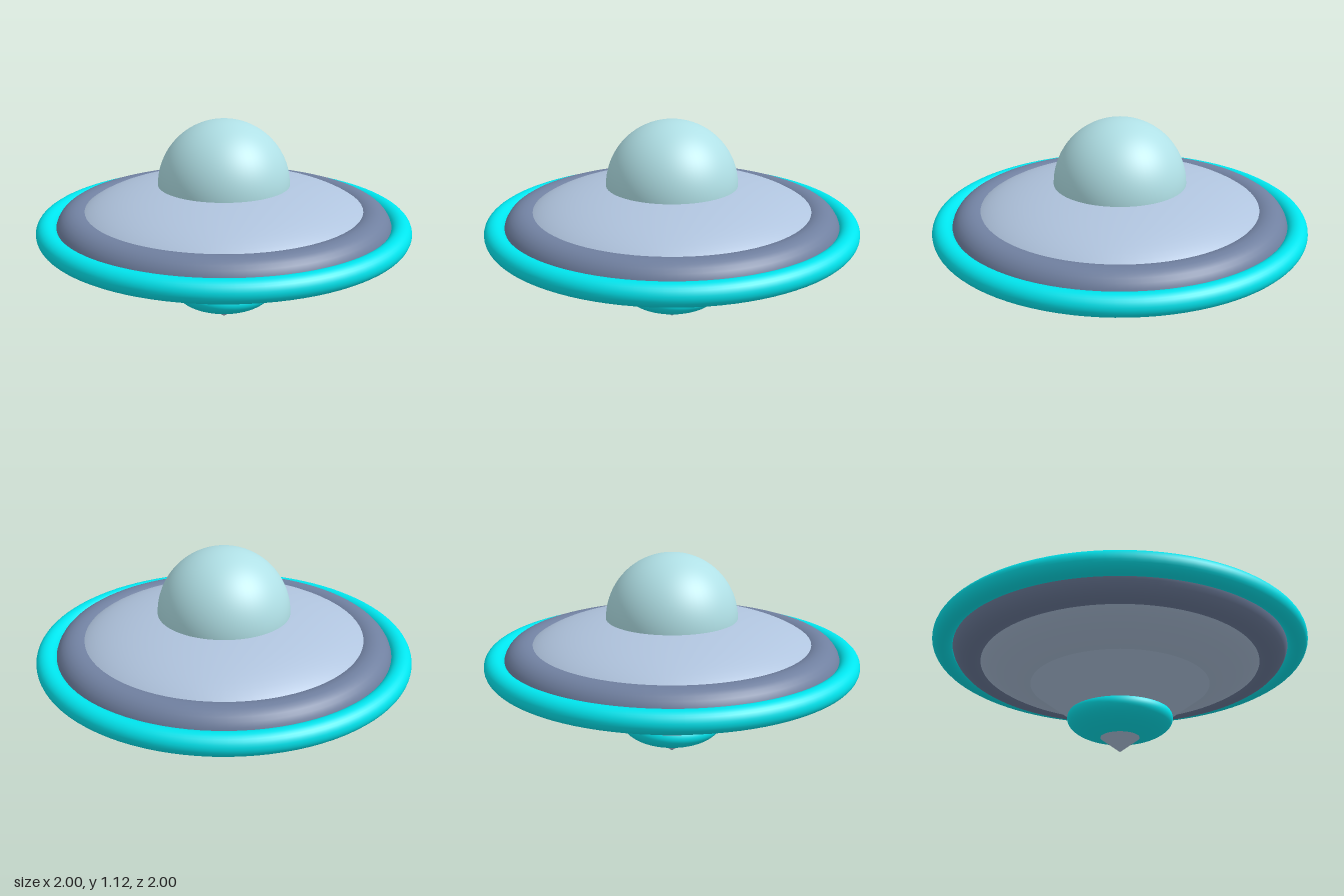
import * as THREE from 'three';

const SEGMENTS = 64;
const HULL_Y = 0.56;

function addPart(group, name, geometry, color, y) {
  const mesh = new THREE.Mesh(geometry, new THREE.MeshStandardMaterial({ color }));
  mesh.name = name;
  mesh.position.y = y;
  group.add(mesh);
  return mesh;
}

// Sphere flattened to the given radius and half height
function ellipsoid(radius, halfHeight) {
  return new THREE.SphereGeometry(1, SEGMENTS, 40).scale(radius, halfHeight, radius);
}

// Ring lying flat around the vertical axis
function flatRing(radius, tube) {
  return new THREE.TorusGeometry(radius, tube, 28, 96).rotateX(Math.PI / 2);
}

export function createModel() {
  const group = new THREE.Group();
  group.name = 'flyingSaucer';
  const steel = 0xb0c4de, slate = 0x7080a0, cyan = 0x00e5ee, glass = 0xb0e0e6;

  // Lens-shaped body with two rings around its edge
  addPart(group, 'hull', ellipsoid(0.81, 0.243), steel, HULL_Y);
  addPart(group, 'innerRing', flatRing(0.79, 0.107), slate, HULL_Y);
  addPart(group, 'outerRing', flatRing(0.943, 0.057), cyan, HULL_Y);

  // Cockpit dome, open where it sits inside the hull
  const dome = new THREE.SphereGeometry(0.353, SEGMENTS, 32, 0, Math.PI * 2, 0, Math.PI / 2);
  addPart(group, 'dome', dome, glass, 0.772);

  // Underside cone pointing down, passing through the thruster
  const cone = new THREE.ConeGeometry(0.485, 0.37, SEGMENTS).rotateX(Math.PI);
  addPart(group, 'lowerCone', cone, steel, 0.185);
  addPart(group, 'thruster', ellipsoid(0.277, 0.11), cyan, 0.18);

  return group;
}
